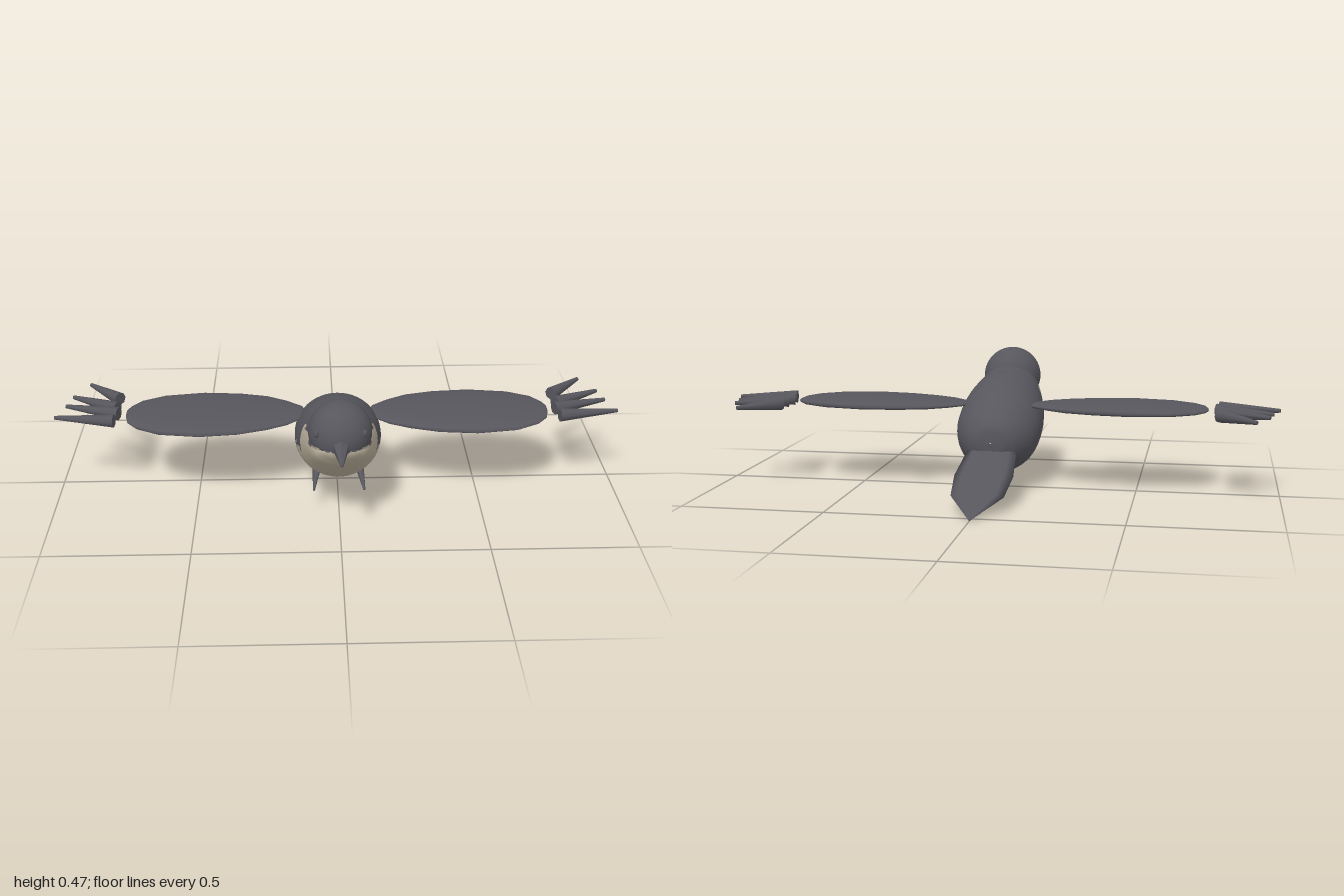
import * as THREE from 'three';

const V = (x, y, z) => new THREE.Vector3(x, y, z);

const slate = new THREE.MeshStandardMaterial({ color: 0x57565d });
slate.name = 'slatePlumage';
const cream = new THREE.MeshStandardMaterial({ color: 0xb8ae9a });
cream.name = 'creamBreast';
const slateFlat = slate;

// Skin a list of elliptical rings { c, u, v }; u x v points along the loft.
// An optional rule (centroid => bool) sends faces to the second material.
function loft(rings, sides, isSecond) {
  const pos = [], faces = [[], []];
  for (const { c, u, v } of rings) {
    for (let j = 0; j < sides; j++) {
      const a = (j / sides) * Math.PI * 2;
      const p = c.clone().addScaledVector(u, Math.cos(a)).addScaledVector(v, Math.sin(a));
      pos.push(p.x, p.y, p.z);
    }
  }
  const at = (i, axis) => pos[i * 3 + axis];
  for (let i = 0; i < rings.length - 1; i++) {
    for (let j = 0; j < sides; j++) {
      const k = (j + 1) % sides;
      const a = i * sides + j, b = i * sides + k, d = a + sides, e = b + sides;
      const y = (at(a, 1) + at(b, 1) + at(d, 1) + at(e, 1)) / 4;
      const z = (at(a, 2) + at(b, 2) + at(d, 2) + at(e, 2)) / 4;
      faces[isSecond && isSecond(y, z) ? 1 : 0].push(a, b, e, a, e, d);
    }
  }
  const g = new THREE.BufferGeometry();
  g.setAttribute('position', new THREE.Float32BufferAttribute(pos, 3));
  g.setIndex([...faces[0], ...faces[1]]);
  if (isSecond) {
    g.addGroup(0, faces[0].length, 0);
    g.addGroup(faces[0].length, faces[1].length, 1);
  }
  g.computeVertexNormals();
  return g;
}

// Ragged edge of the pale throat, breast and belly
function isPale(y, z) {
  if (y > 0.336) return false;
  if (z > 0.31 && z < 0.345 && y > 0.312) return false;
  const edge = y > 0.235 ? 0.207 : y > 0.145 ? 0.135 : 0.085;
  return z > edge;
}

// Tapered spike from one point to another
function spike(name, from, to, r0, r1, sides, material) {
  const dir = to.clone().sub(from);
  const g = new THREE.CylinderGeometry(r1, r0, dir.length(), sides);
  const m = new THREE.Mesh(g, material);
  m.name = name;
  m.position.copy(from).add(to).multiplyScalar(0.5);
  m.quaternion.setFromUnitVectors(V(0, 1, 0), dir.normalize());
  return m;
}

export function createModel() {
  const bird = new THREE.Group();
  bird.name = 'bird';
  const add = (name, geometry, material) => {
    const m = new THREE.Mesh(geometry, material);
    m.name = name;
    bird.add(m);
    return m;
  };

  // Body: z, top, bottom, half width
  const profile = [
    [-0.155, 0.187, 0.183, 0.002], [-0.15, 0.235, 0.14, 0.05], [-0.13, 0.265, 0.105, 0.085],
    [-0.1, 0.29, 0.08, 0.11], [-0.05, 0.325, 0.06, 0.137], [0, 0.35, 0.055, 0.15],
    [0.05, 0.37, 0.06, 0.153], [0.1, 0.385, 0.072, 0.152], [0.15, 0.395, 0.092, 0.147],
    [0.2, 0.402, 0.12, 0.137], [0.25, 0.412, 0.152, 0.124], [0.3, 0.405, 0.188, 0.111],
    [0.35, 0.385, 0.228, 0.098], [0.39, 0.365, 0.268, 0.082], [0.42, 0.355, 0.31, 0.052],
    [0.43, 0.338, 0.334, 0.002],
  ];
  const mid = new THREE.CatmullRomCurve3(profile.map(([z, t, b]) => V(0, (t + b) / 2, z)));
  const size = new THREE.CatmullRomCurve3(profile.map(([, t, b, w]) => V(w, (t - b) / 2, 0)));
  const bodyRings = [];
  for (let i = 0; i <= 60; i++) {
    const s = size.getPoint(i / 60);
    bodyRings.push({ c: mid.getPoint(i / 60), u: V(s.x, 0, 0), v: V(0, s.y, 0) });
  }
  add('body', loft(bodyRings, 48, isPale), [slate, cream]);

  // Round head sharing the pale throat edge
  const headRings = [];
  for (let i = 0; i <= 24; i++) {
    const a = (i / 24) * Math.PI, r = 0.107 * Math.sin(a);
    headRings.push({ c: V(0, 0.365, 0.327 - 0.107 * Math.cos(a)), u: V(r, 0, 0), v: V(0, r, 0) });
  }
  add('head', loft(headRings, 40, isPale), [slate, cream]);

  // Beak
  const beak = spike('beak', V(0, 0.355, 0.415), V(0, 0.34, 0.528), 0.031, 0.004, 6, slateFlat);
  beak.geometry = beak.geometry.toNonIndexed();
  beak.geometry.computeVertexNormals();
  bird.add(beak);

  // Tail: z, height, half width, half thickness
  const tail = [
    [-0.1, 0.16, 0, 0], [-0.1, 0.16, 0.08, 0.014], [-0.15, 0.143, 0.09, 0.016],
    [-0.28, 0.096, 0.102, 0.016], [-0.4, 0.052, 0.09, 0.012], [-0.53, 0.003, 0.002, 0.002],
    [-0.53, 0.003, 0, 0],
  ].map(([z, y, w, t]) => ({ c: V(0, y, z), u: V(-w, 0, 0), v: V(0, t, 0) }));
  add('tail', loft(tail, 8), slate);

  // Wing: x, back z, front z, half thickness
  const wing = [
    [0.11, 0.045, 0.055, 0.001], [0.125, -0.005, 0.09, 0.008], [0.18, -0.05, 0.14, 0.013],
    [0.25, -0.09, 0.175, 0.017], [0.35, -0.115, 0.207, 0.02], [0.48, -0.125, 0.22, 0.022],
    [0.62, -0.105, 0.2, 0.019], [0.7, -0.065, 0.155, 0.014], [0.735, -0.02, 0.11, 0.009],
    [0.747, 0.01, 0.06, 0.004], [0.748, 0.035, 0.035, 0],
  ];
  // Wingtip feathers: base x, base z, tip x, tip z
  const feathers = [
    [0.785, -0.085, 0.907, -0.21], [0.785, -0.01, 0.955, -0.105],
    [0.775, 0.035, 0.97, -0.03], [0.785, 0.093, 0.997, 0.06],
  ];

  for (const s of [1, -1]) {
    const side = s > 0 ? 'left' : 'right';
    const rings = wing.map(([x, z0, z1, t]) => ({
      c: V(s * x, 0.295, (z0 + z1) / 2), u: V(0, s * t, 0), v: V(0, 0, (z1 - z0) / 2),
    }));
    add(side + 'Wing', loft(rings, 16), slate);

    feathers.forEach(([x0, z0, x1, z1], i) => {
      const f = spike(side + 'WingFeather' + (i + 1), V(s * x0, 0.295, z0), V(s * x1, 0.295, z1),
        0.024, 0.007, 8, slate);
      f.scale.set(1, 1, 1);
      f.geometry.computeBoundingBox();
      bird.add(f);
    });

    // Tucked foot
    bird.add(spike(side + 'Foot', V(s * 0.075, 0.122, 0.13), V(s * 0.088, 0.088, 0.237),
      0.016, 0.004, 8, slate));

    // Eye
    const eye = add(side + 'Eye', new THREE.SphereGeometry(1, 12, 8), slate);
    eye.position.set(s * 0.079, 0.39, 0.397);
    eye.scale.set(0.009, 0.014, 0.009);
  }
  return bird;
}
